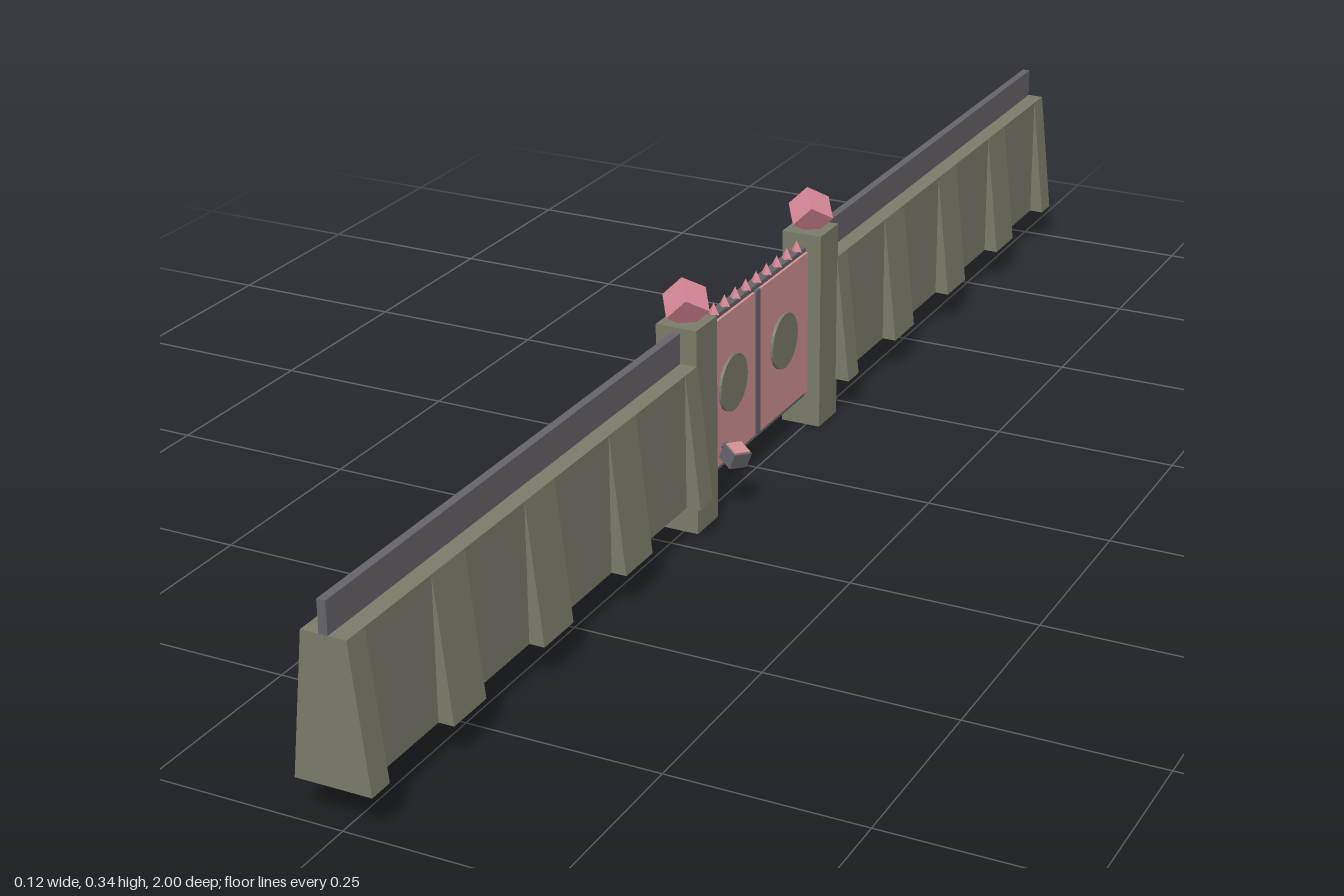
import * as THREE from 'three';

const CX = -0.0085; // wall centre line

export function createModel() {
  const model = new THREE.Group();
  const mat = (name, color) => {
    const m = new THREE.MeshStandardMaterial({ color, flatShading: true });
    m.name = name;
    return m;
  };
  const concrete = mat('olive concrete', 0x7c7c6a);
  const metal = mat('grey metal', 0x67646c);
  const lamp = mat('lamp pink', 0xda8a98);
  const panel = mat('panel pink', 0xd29393);

  const add = (name, geo, m, x = 0, y = 0, z = 0, parent = model) => {
    const mesh = new THREE.Mesh(geo, m);
    mesh.name = name;
    mesh.position.set(x, y, z);
    parent.add(mesh);
    return mesh;
  };
  // box given by its limits
  const box = (name, m, x0, x1, y0, y1, z0, z1, parent) =>
    add(name, new THREE.BoxGeometry(x1 - x0, y1 - y0, z1 - z0), m,
      (x0 + x1) / 2, (y0 + y1) / 2, (z0 + z1) / 2, parent);

  // tapered cross-section of a buttress
  const taper = new THREE.Shape([
    new THREE.Vector2(-0.0485, 0.051), new THREE.Vector2(0.0485, 0.051),
    new THREE.Vector2(0.0285, 0.233), new THREE.Vector2(-0.0285, 0.233),
  ]);

  for (const s of [1, -1]) {
    const span = (a, b) => (s > 0 ? [a, b] : [-b, -a]);
    const side = new THREE.Group();
    side.name = s > 0 ? 'frontWall' : 'backWall';
    model.add(side);

    // wall core and the metal rail along its top
    box('wallCore', concrete, CX - 0.0284, CX + 0.0284, 0.051, 0.2328, ...span(0.21, 0.9995), side);
    box('topRail', metal, CX - 0.0055, CX + 0.0055, 0.225, 0.274, ...span(0.21, 1), side);

    // evenly spaced buttresses, half width at both ends
    for (let i = 0; i < 5; i++) {
      const c = 0.21 + i * 0.1975;
      const [z0, z1] = span(Math.max(0.21, c - 0.034), Math.min(1, c + 0.034));
      const geo = new THREE.ExtrudeGeometry(taper, { depth: z1 - z0, bevelEnabled: false });
      add('buttress', geo, concrete, CX, 0, z0, side);
    }

    // gate post with a cube lamp balanced on its edge
    box('gatePost', concrete, CX - 0.0285, CX + 0.0285, 0, 0.281, ...span(0.156, 0.213), side);
    const cube = add('postLamp', new THREE.BoxGeometry(0.039, 0.039, 0.039), lamp, CX, 0.3045, s * 0.185, side);
    cube.rotation.set(0, Math.PI / 4, -Math.PI / 4, 'ZYX');
  }

  // gate slab, its door panels and round windows
  const gate = new THREE.Group();
  gate.name = 'gate';
  model.add(gate);
  box('gateSlab', metal, CX - 0.009, CX + 0.006, 0.043, 0.262, -0.157, 0.157, gate);
  box('centreBar', metal, CX + 0.006, CX + 0.011, 0.05, 0.257, -0.006, 0.006, gate);
  for (const s of [1, -1]) {
    const [z0, z1] = s > 0 ? [0.008, 0.156] : [-0.156, -0.008];
    box('doorPanel', panel, CX + 0.005, CX + 0.01, 0.051, 0.256, z0, z1, gate);
    const disc = add('roundWindow', new THREE.CylinderGeometry(0.039, 0.039, 0.01, 24), concrete,
      CX + 0.009, 0.156, s * 0.077, gate);
    disc.rotation.z = -Math.PI / 2;
  }

  // row of small spikes on the gate
  for (let i = 0; i < 10; i++) {
    add('gateSpike', new THREE.ConeGeometry(0.008, 0.016, 4), lamp, CX, 0.269, -0.14 + i * 0.0311, gate);
  }

  // entry box on a bent arm
  const keypad = new THREE.Group();
  keypad.name = 'entryBox';
  model.add(keypad);
  const path = new THREE.CatmullRomCurve3([
    new THREE.Vector3(0, 0.076, 0.105),
    new THREE.Vector3(0.018, 0.082, 0.11),
    new THREE.Vector3(0.036, 0.087, 0.135),
  ]);
  add('arm', new THREE.TubeGeometry(path, 6, 0.004, 6), metal, 0, 0, 0, keypad);
  const head = new THREE.Group();
  head.name = 'entryHead';
  head.position.set(0.038, 0.085, 0.141);
  head.rotation.set(0, -0.5, -0.35, 'ZYX');
  keypad.add(head);
  add('entryCase', new THREE.BoxGeometry(0.026, 0.022, 0.028), metal, 0, 0, 0, head);
  add('entryPad', new THREE.BoxGeometry(0.022, 0.003, 0.024), panel, 0, 0.0115, 0, head);

  return model;
}
